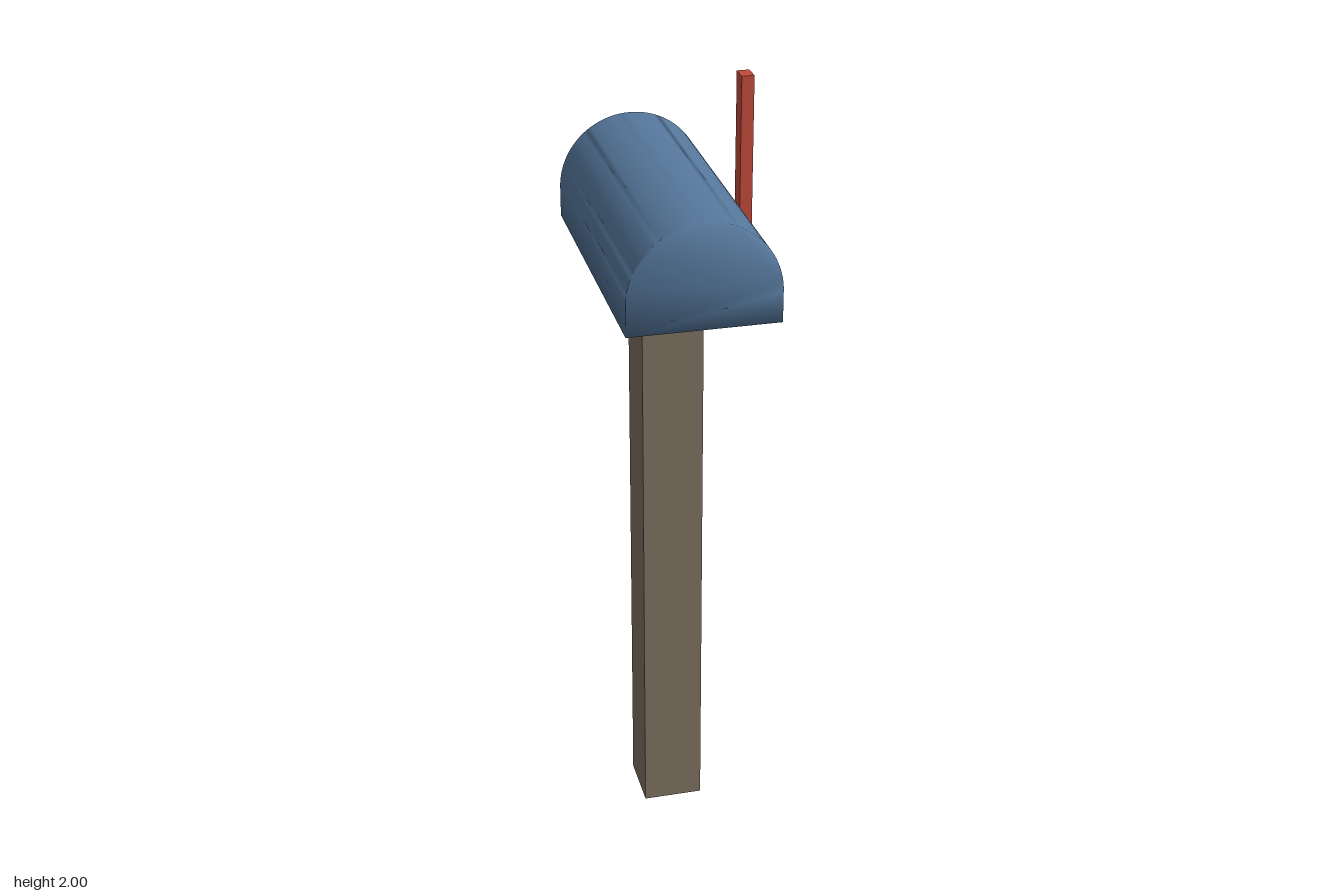
import * as THREE from 'three';
import { mergeVertices } from 'three/addons/utils/BufferGeometryUtils.js';

const paint = (name, color) => {
  const material = new THREE.MeshStandardMaterial({ color });
  material.name = name;
  return material;
};

export function createModel() {
  const group = new THREE.Group();
  group.name = 'mailbox';
  const wood = paint('weathered wood', 0x7d7060);
  const blue = paint('box blue', 0x55779b);
  const red = paint('flag red', 0xc04a3c);

  const add = (name, geometry, material, x, y, z) => {
    const mesh = new THREE.Mesh(geometry, material);
    mesh.name = name;
    mesh.position.set(x, y, z);
    group.add(mesh);
  };

  const centerX = -0.0154, postHeight = 1.5385;

  // Square post
  add('post', new THREE.BoxGeometry(0.154, postHeight, 0.154), wood, centerX, postHeight / 2, 0);

  // Box with straight lower walls and a half-round roof, closed at both ends
  const radius = 0.1846, wall = 0.077, length = 0.769;
  const profile = new THREE.Shape();
  profile.moveTo(-radius, 0);
  profile.lineTo(radius, 0);
  profile.lineTo(radius, wall);
  profile.absarc(0, wall, radius, 0, Math.PI, false);
  profile.lineTo(-radius, 0);
  let body = new THREE.ExtrudeGeometry(profile, { depth: length, bevelEnabled: false, curveSegments: 24 });
  // Shared corners give one continuous smooth shell
  body.deleteAttribute('normal');
  body.deleteAttribute('uv');
  body = mergeVertices(body, 1e-4);
  body.computeVertexNormals();
  add('box', body, blue, centerX, postHeight, -length / 2);

  // Raised flag on the left side
  add('flag', new THREE.BoxGeometry(0.031, 0.385, 0.046), red, 0.1845, 1.8075, -0.023);

  return group;
}
